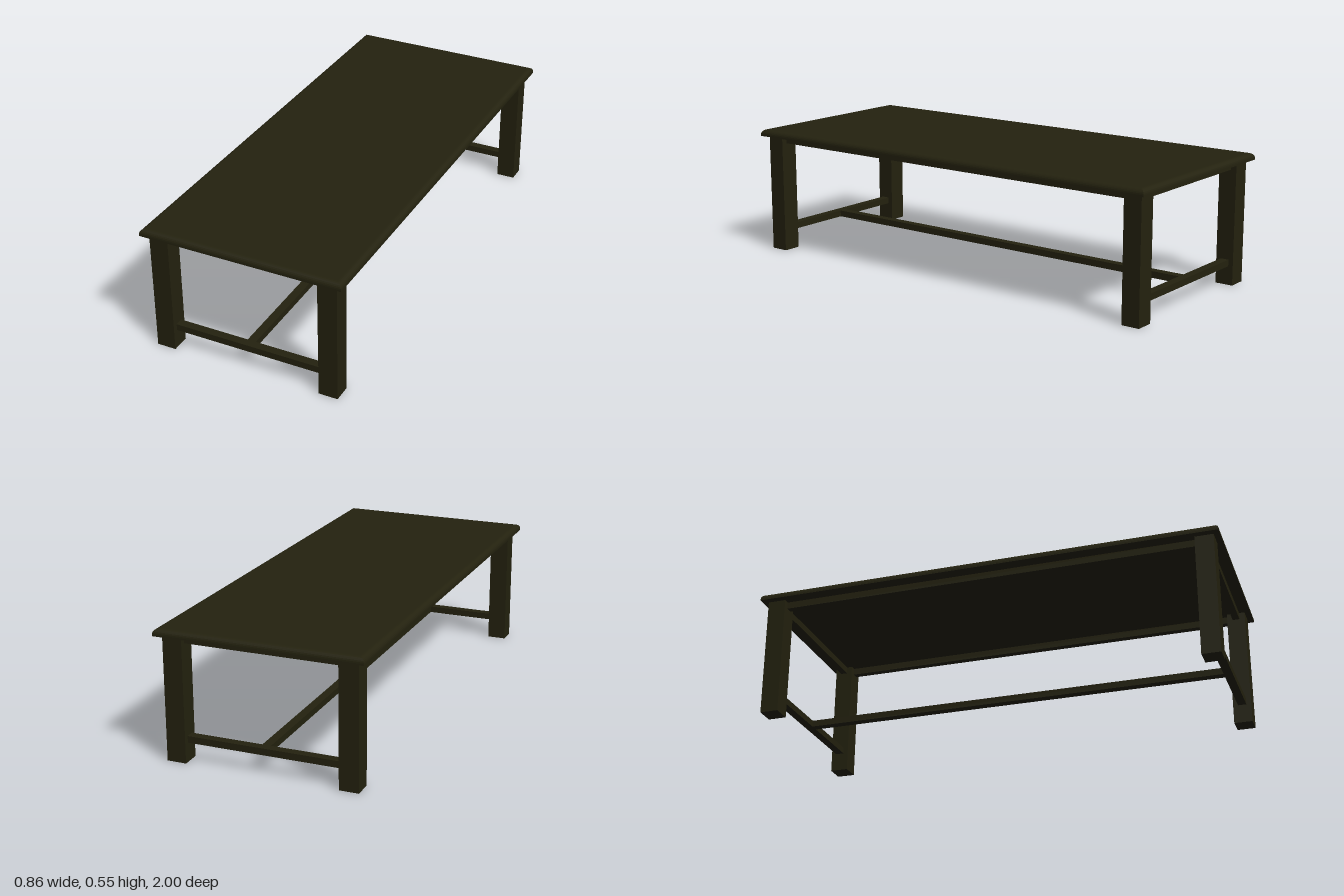
import * as THREE from 'three';

const darkWood = new THREE.MeshStandardMaterial({ color: 0x24220f });

// Slab whose top edges are rounded over on all four sides
function roundedSlab(halfX, halfZ, y0, y1, radius, steps) {
  const rings = [[0, y0]];
  for (let i = 0; i <= steps; i++) {
    const a = (i / steps) * Math.PI / 2;
    rings.push([radius * (1 - Math.cos(a)), y1 - radius + radius * Math.sin(a)]);
  }
  const pos = [], index = [];
  for (const [inset, y] of rings) {
    const x = halfX - inset, z = halfZ - inset;
    pos.push(x, y, z, x, y, -z, -x, y, -z, -x, y, z);
  }
  for (let r = 0; r < rings.length - 1; r++) {
    for (let c = 0; c < 4; c++) {
      const a = r * 4 + c, b = r * 4 + (c + 1) % 4;
      index.push(a, b, b + 4, a, b + 4, a + 4);
    }
  }
  const t = (rings.length - 1) * 4;
  index.push(t, t + 1, t + 2, t, t + 2, t + 3); // top face
  index.push(0, 2, 1, 0, 3, 2);                 // underside
  const indexed = new THREE.BufferGeometry();
  indexed.setAttribute('position', new THREE.Float32BufferAttribute(pos, 3));
  indexed.setIndex(index);
  const geometry = indexed.toNonIndexed();
  geometry.computeVertexNormals();
  return geometry;
}

export function createModel() {
  const group = new THREE.Group();
  group.name = 'diningTable';

  const add = (name, geometry, x = 0, y = 0, z = 0) => {
    const mesh = new THREE.Mesh(geometry, darkWood);
    mesh.name = name;
    mesh.position.set(x, y, z);
    group.add(mesh);
  };
  const box = (name, w, h, d, x, y, z) => add(name, new THREE.BoxGeometry(w, h, d), x, y, z);

  const top = 0.518, legW = 0.081, legD = 0.078, legX = 0.362, legZ = 0.936;
  const spanX = 2 * legX - legW, spanZ = 2 * legZ - legD;
  const railH = 0.03, apronY = top - railH / 2, barH = 0.028, barY = 0.094, barW = 0.036;

  // Table top
  add('tableTop', roundedSlab(0.432, 1, top, 0.547, 0.022, 6));

  for (const s of [-1, 1]) {
    const side = s > 0 ? 'left' : 'right', end = s > 0 ? 'front' : 'back';
    // Legs
    for (const e of [-1, 1]) {
      box(`${side}${e > 0 ? 'Front' : 'Back'}Leg`, legW, top, legD, s * legX, top / 2, e * legZ);
    }
    // Aprons under the top
    box(`${side}Apron`, railH, railH, spanZ, s * legX, apronY, 0);
    box(`${end}Apron`, spanX, railH, railH, 0, apronY, s * legZ);
    // Low bars joining each pair of legs
    box(`${end}Stretcher`, spanX, barH, barW, 0, barY, s * legZ);
  }

  // Long bar down the middle
  box('centreStretcher', barW, barH, 2 * legZ - barW, 0, barY, 0);

  return group;
}
